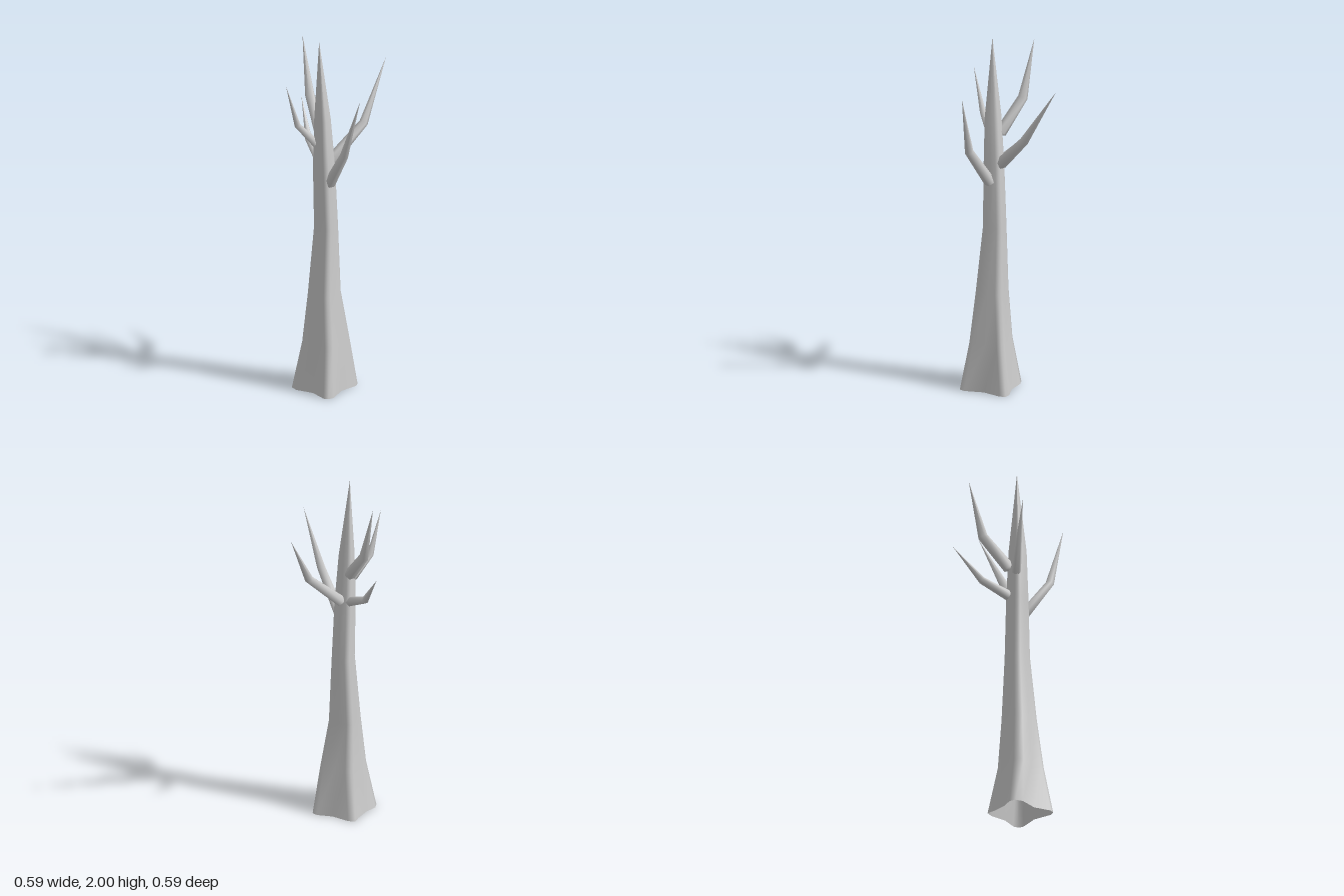
import * as THREE from 'three';

const material = new THREE.MeshStandardMaterial({ color: 0xcccccc, side: THREE.DoubleSide });

// Skin a list of closed rings (each an array of Vector3, counter-clockwise about the growth direction).
function loft(name, rings) {
  const n = rings[0].length;
  const index = [];
  for (let r = 0; r < rings.length - 1; r++) {
    for (let i = 0; i < n; i++) {
      const j = (i + 1) % n;
      const a = r * n + i, b = r * n + j;
      index.push(a, b, b + n, a, b + n, a + n);
    }
  }
  const geometry = new THREE.BufferGeometry().setFromPoints(rings.flat());
  geometry.setIndex(index);
  geometry.computeVertexNormals();
  const mesh = new THREE.Mesh(geometry, material);
  mesh.name = name;
  return mesh;
}

// Root flare outline at the ground (x, z): front, right, back and left lobes with valleys between.
const flare = [
  [-0.095, 0.243], [-0.065, 0.23], [-0.005, 0.14], [0.085, 0.085],
  [0.1, 0.057], [0.085, 0.03], [0.01, -0.015], [-0.05, -0.09],
  [-0.085, -0.11], [-0.115, -0.075], [-0.18, -0.02], [-0.24, 0.008],
  [-0.257, 0.04], [-0.24, 0.08], [-0.16, 0.14], [-0.12, 0.23],
];

// Trunk levels: height, left, right, back, front, amount of root flare.
const levels = [
  [0, -0.257, 0.1, -0.11, 0.243, 1],
  [0.27, -0.203, 0.055, -0.055, 0.192, 0.75],
  [0.55, -0.172, 0.007, -0.035, 0.155, 0.4],
  [0.93, -0.137, -0.006, -0.018, 0.118, 0.1],
  [1.27, -0.143, -0.022, -0.01, 0.11, 0],
  [1.55, -0.137, -0.046, 0.003, 0.1, 0],
  [2, -0.109, -0.109, 0.048, 0.048, 0],
];

function makeTrunk() {
  const soften = (v) => Math.sign(v) * Math.abs(v) ** 1.5;
  const rings = levels.map(([y, left, right, back, front, k]) =>
    flare.map(([fx, fz], i) => {
      const a = (i / flare.length) * Math.PI * 2;
      const u = THREE.MathUtils.lerp(soften(Math.sin(a)), (fx + 0.0785) / 0.1785, k);
      const v = THREE.MathUtils.lerp(soften(Math.cos(a)), (fz - 0.0665) / 0.1765, k);
      return new THREE.Vector3(
        (left + right) / 2 + (u * (right - left)) / 2, y,
        (back + front) / 2 + (v * (front - back)) / 2);
    }));
  return loft('trunk', rings);
}

// A bent, pointed branch through base, elbow and tip.
function makeBranch(name, points, baseRadius, elbowRadius) {
  const p = points.map((q) => new THREE.Vector3(...q));
  const d0 = p[1].clone().sub(p[0]).normalize();
  const d1 = p[2].clone().sub(p[1]).normalize();
  const directions = [d0, d0, d0.clone().add(d1).normalize(), d1];
  const centres = [p[0].clone().addScaledVector(d0, -baseRadius * 0.6), ...p];
  const radii = [0, baseRadius, elbowRadius, 0];
  const side = new THREE.Vector3(0, 1, 0).cross(d0).normalize();
  const sides = 6;
  const rings = centres.map((c, k) => {
    const v = directions[k].clone().cross(side).normalize();
    const u = v.clone().cross(directions[k]);
    return Array.from({ length: sides }, (_, i) => {
      const a = (i / sides) * Math.PI * 2;
      return c.clone()
        .addScaledVector(u, Math.cos(a) * radii[k])
        .addScaledVector(v, Math.sin(a) * radii[k]);
    });
  });
  return loft(name, rings);
}

export function createModel() {
  const tree = new THREE.Group();
  tree.name = 'bareTree';
  tree.add(
    makeTrunk(),
    makeBranch('leftBranch', [[-0.045, 1.29, 0.025], [0.15, 1.48, -0.03], [0.297, 1.8, -0.157]], 0.033, 0.024),
    makeBranch('frontBranch', [[-0.058, 1.19, 0.085], [-0.006, 1.4, 0.225], [0.068, 1.74, 0.297]], 0.032, 0.024),
    makeBranch('rightBranch', [[-0.125, 1.41, 0.045], [-0.228, 1.525, 0.055], [-0.297, 1.77, 0.08]], 0.025, 0.018),
    makeBranch('upperBackBranch', [[-0.095, 1.45, 0.005], [-0.125, 1.62, -0.135], [-0.15, 1.94, -0.212]], 0.032, 0.027),
    makeBranch('lowerBackBranch', [[-0.095, 1.285, 0.005], [-0.13, 1.36, -0.14], [-0.14, 1.555, -0.297]], 0.028, 0.02),
  );
  return tree;
}
